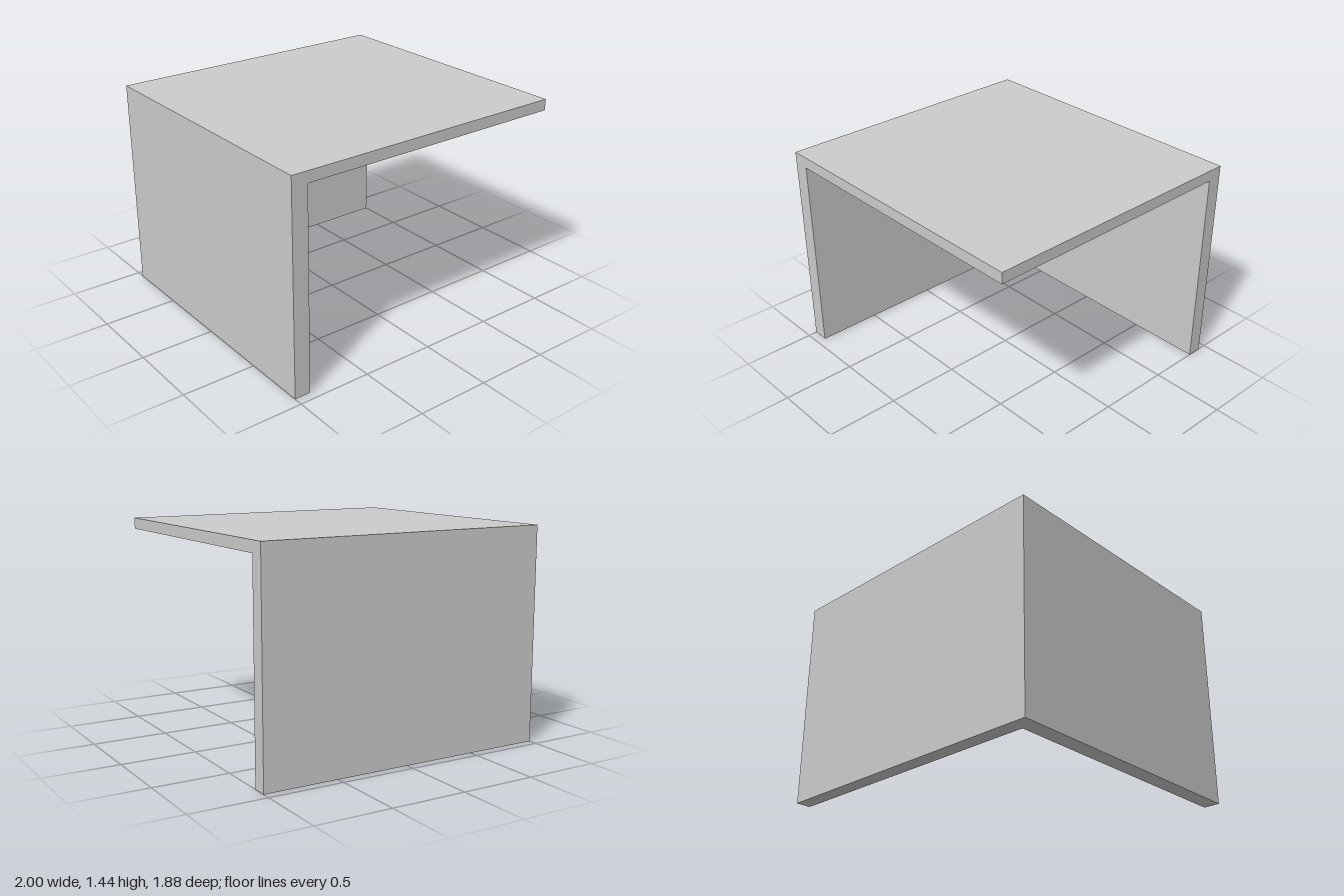
import * as THREE from 'three';

const material = new THREE.MeshStandardMaterial({ color: 0xcccccc, flatShading: true });

// Box panel given by its lower and upper corners
function panel(name, [x0, y0, z0], [x1, y1, z1]) {
  const mesh = new THREE.Mesh(new THREE.BoxGeometry(x1 - x0, y1 - y0, z1 - z0), material);
  mesh.position.set((x0 + x1) / 2, (y0 + y1) / 2, (z0 + z1) / 2);
  mesh.name = name;
  return mesh;
}

export function createModel() {
  const group = new THREE.Group();
  group.name = 'cornerShelter';

  const X = 1, Z = 0.94, top = 1.44, under = 1.365;
  const sideInner = -0.89, backInner = -0.84;

  // Flat roof over two walls that meet at the back corner
  group.add(
    panel('roof', [-X, under, -Z], [X, top, Z]),
    panel('sideWall', [-X, 0, -Z], [sideInner, under, Z]),
    panel('backWall', [sideInner, 0, -Z], [X, under, backInner])
  );
  return group;
}
